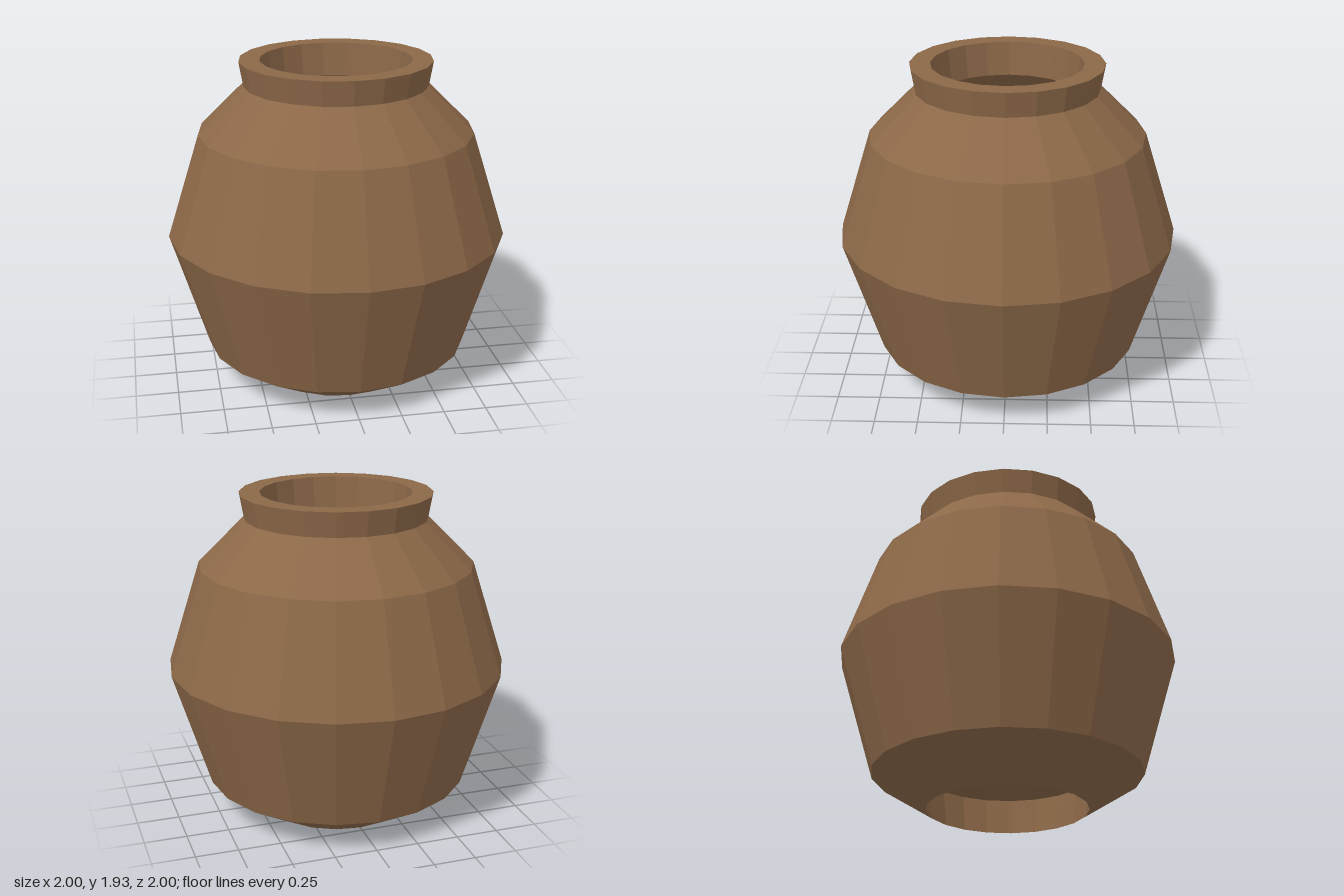
import * as THREE from 'three';

const SIDES = 20;

export function createModel() {
  const pot = new THREE.Group();
  pot.name = 'clayPot';
  const clay = new THREE.MeshStandardMaterial({ color: 0x8c6848, flatShading: true });

  // Revolve a [radius, height] profile into a faceted ring of the pot
  const addTurned = (name, profile) => {
    const points = profile.map(([r, y]) => new THREE.Vector2(r, y));
    const mesh = new THREE.Mesh(new THREE.LatheGeometry(points, SIDES), clay);
    mesh.name = name;
    pot.add(mesh);
  };

  // Hollow underside and bevelled foot
  addTurned('foot', [[0, 0.21], [0.49, 0.21], [0.465, 0], [0.785, 0.2]]);

  // Outer belly and shoulder
  addTurned('belly', [[0.785, 0.2], [1, 0.905], [0.805, 1.515], [0.535, 1.785]]);

  // Flared neck with a flat lip and a thick inner wall
  addTurned('neck', [[0.535, 1.785], [0.56, 1.93], [0.44, 1.93], [0.42, 1.73]]);

  // Hollow inside down to the flat floor
  addTurned('innerWall', [[0.42, 1.73], [0.72, 1.44], [0.9, 0.9], [0.7, 0.27], [0, 0.27]]);

  return pot;
}
